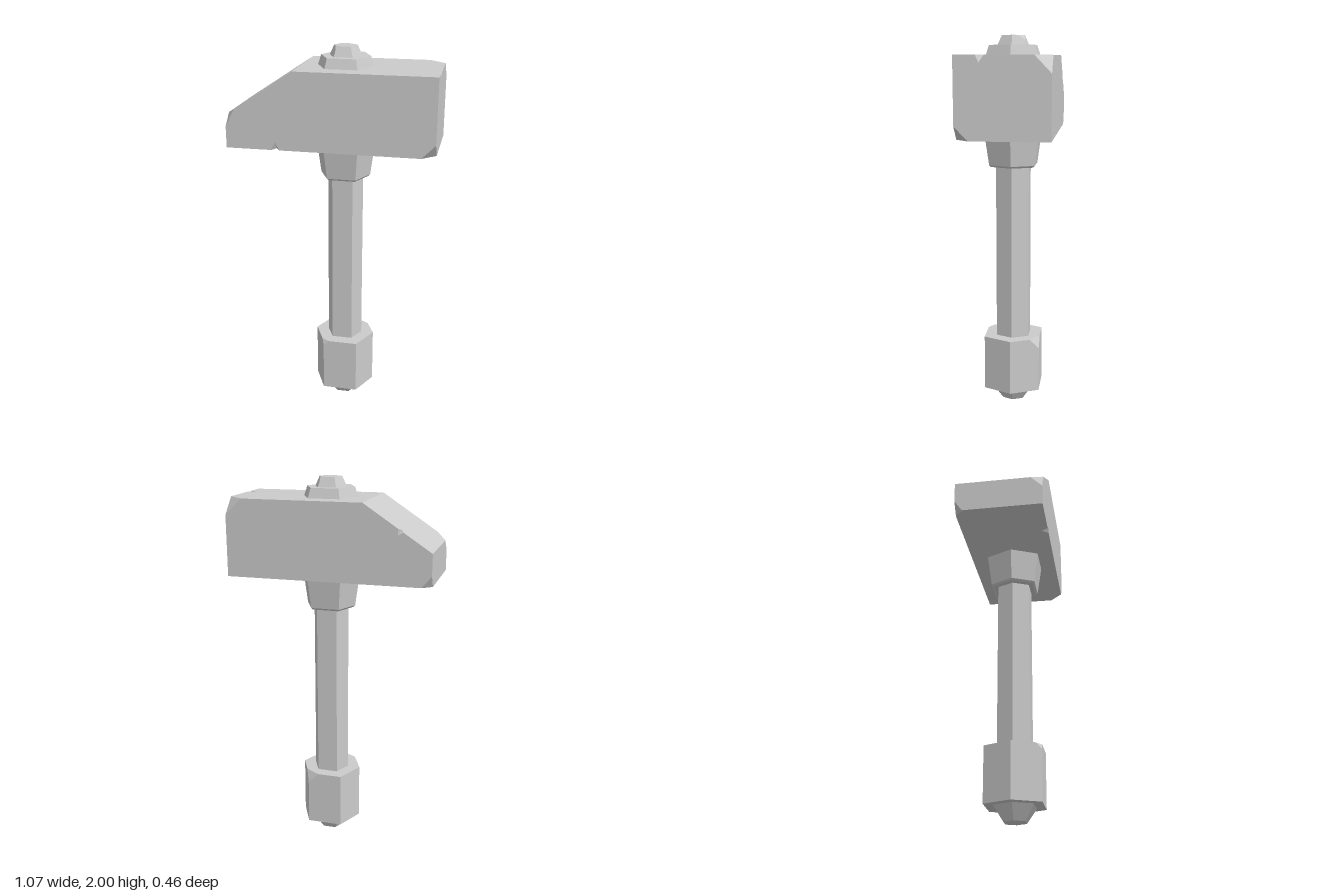
import * as THREE from 'three';
import { ConvexGeometry } from 'three/addons/geometries/ConvexGeometry.js';

const V = (x, y, z) => new THREE.Vector3(x, y, z);
const material = new THREE.MeshStandardMaterial({ color: 0xcccccc, flatShading: true, side: THREE.DoubleSide });

function part(name, geometry) {
  const mesh = new THREE.Mesh(geometry, material);
  mesh.name = name;
  return mesh;
}

// Tapered hexagonal block; chips = [[corner of the top ring, size], ...]
function hexBlock(name, r0, y0, r1, y1, chips = []) {
  const corners = [[1, 0], [0.57, 0.92], [-0.57, 0.92], [-1, 0], [-0.57, -0.92], [0.57, -0.92]];
  const ring = (r, y) => corners.map(([x, z]) => V(x * r, y, z * r));
  const low = ring(r0, y0), high = ring(r1, y1);
  const points = [...low];
  high.forEach((p, k) => {
    const chip = chips.find(([corner]) => corner === k);
    if (!chip) return points.push(p);
    // replace the corner by one point along each of its three edges
    for (const q of [high[(k + 1) % 6], high[(k + 5) % 6], low[k]]) {
      points.push(p.clone().add(q.clone().sub(p).setLength(chip[1])));
    }
  });
  const mesh = part(name, new ConvexGeometry(points));
  mesh.position.set(0.04, 0, 0.003);
  return mesh;
}

// Flat-faced solid from named points and outward, counter-clockwise polygons
function solid(points, faces) {
  const out = [];
  for (const face of faces) {
    const loop = face.split(' ').map((n) => V(...points[n]));
    const normal = V(0, 0, 0);
    loop.forEach((p, i) => normal.add(p.clone().cross(loop[(i + 1) % loop.length])));
    normal.normalize();
    const u = loop[1].clone().sub(loop[0]).normalize();
    const v = normal.clone().cross(u);
    const flat = loop.map((p) => new THREE.Vector2(p.dot(u), p.dot(v)));
    for (const tri of THREE.ShapeUtils.triangulateShape(flat, [])) {
      for (const i of tri) out.push(...loop[i].toArray());
    }
  }
  const geometry = new THREE.BufferGeometry();
  geometry.setAttribute('position', new THREE.Float32BufferAttribute(out, 3));
  geometry.computeVertexNormals();
  return geometry;
}

function headGeometry() {
  const X0 = -0.535, X1 = 0.53, Y0 = 1.5, Y1 = 1.9, Z = 0.232, TIP = 1.67, RIDGE = -0.185;
  const slope = (x) => TIP + (x - X0) * (Y1 - TIP) / (RIDGE - X0);
  const points = {
    // plain corners
    d: [X0, Y0, Z], f: [X1, Y0, -Z], g: [X1, Y1, Z],
    h: [RIDGE, Y1, Z], i: [RIDGE, Y1, -Z], j: [X0, TIP, -Z],
    // cut corners
    a1: [0.46, Y0, Z], a2: [X1, 1.57, Z], a3: [X1, Y0, 0.165],
    b1: [0.445, Y1, -Z], b2: [X1, 1.815, -Z], b3: [X1, Y1, -0.15],
    c1: [X0, 1.61, Z], c2: [-0.485, slope(-0.485), Z], c3: [X0, TIP, 0.17],
    e1: [-0.485, Y0, -Z], e2: [X0, 1.56, -Z], e3: [X0, Y0, -0.19],
    // notches: p and q on the edge, r and s on the two faces beside it
    p1: [-0.3, Y0, Z], q1: [-0.255, Y0, Z], r1: [-0.28, 1.54, Z], s1: [-0.28, Y0, 0.195],
    p2: [X1, Y1, 0.08], q2: [X1, Y1, 0.125], r2: [X1, 1.865, 0.11], s2: [0.487, Y1, 0.09],
    p3: [-0.39, slope(-0.39), -Z], q3: [-0.365, slope(-0.365), -Z],
    r3: [-0.362, 1.75, -Z], s3: [-0.377, slope(-0.377), -0.203],
  };
  const faces = [
    'd p1 r1 q1 a1 a2 g h c2 c1', // front
    'f e1 e2 j p3 r3 q3 i b1 b2', // back
    'a1 q1 s1 p1 d e3 e1 f a3', // bottom
    'g a2 a3 f b2 b3 p2 r2 q2', // striking face
    'h g q2 s2 p2 b3 b1 i', // top
    'h i q3 s3 p3 j c3 c2', // slope
    'd c1 c3 j e2 e3', // narrow end
    'a2 a1 a3', 'b2 b1 b3', 'c1 c2 c3', 'e2 e1 e3', // cut corners
  ];
  for (const n of [1, 2, 3]) faces.push(`p${n} s${n} r${n}`, `q${n} r${n} s${n}`);
  return solid(points, faces);
}

export function createModel() {
  const hammer = new THREE.Group();
  hammer.name = 'hammer';
  hammer.add(
    part('head', headGeometry()),
    hexBlock('pommelTip', 0.06, 0, 0.112, 0.08),
    hexBlock('pommel', 0.163, 0.08, 0.163, 0.38, [[5, 0.055], [2, 0.03]]),
    hexBlock('handle', 0.095, 0.38, 0.095, 1.32),
    hexBlock('collarBevel', 0.122, 1.32, 0.132, 1.33),
    hexBlock('collar', 0.132, 1.33, 0.156, 1.5),
    hexBlock('topNut', 0.145, 1.9, 0.128, 1.95),
    hexBlock('topKnob', 0.084, 1.95, 0.061, 2, [[5, 0.03], [2, 0.03]]),
  );
  return hammer;
}
